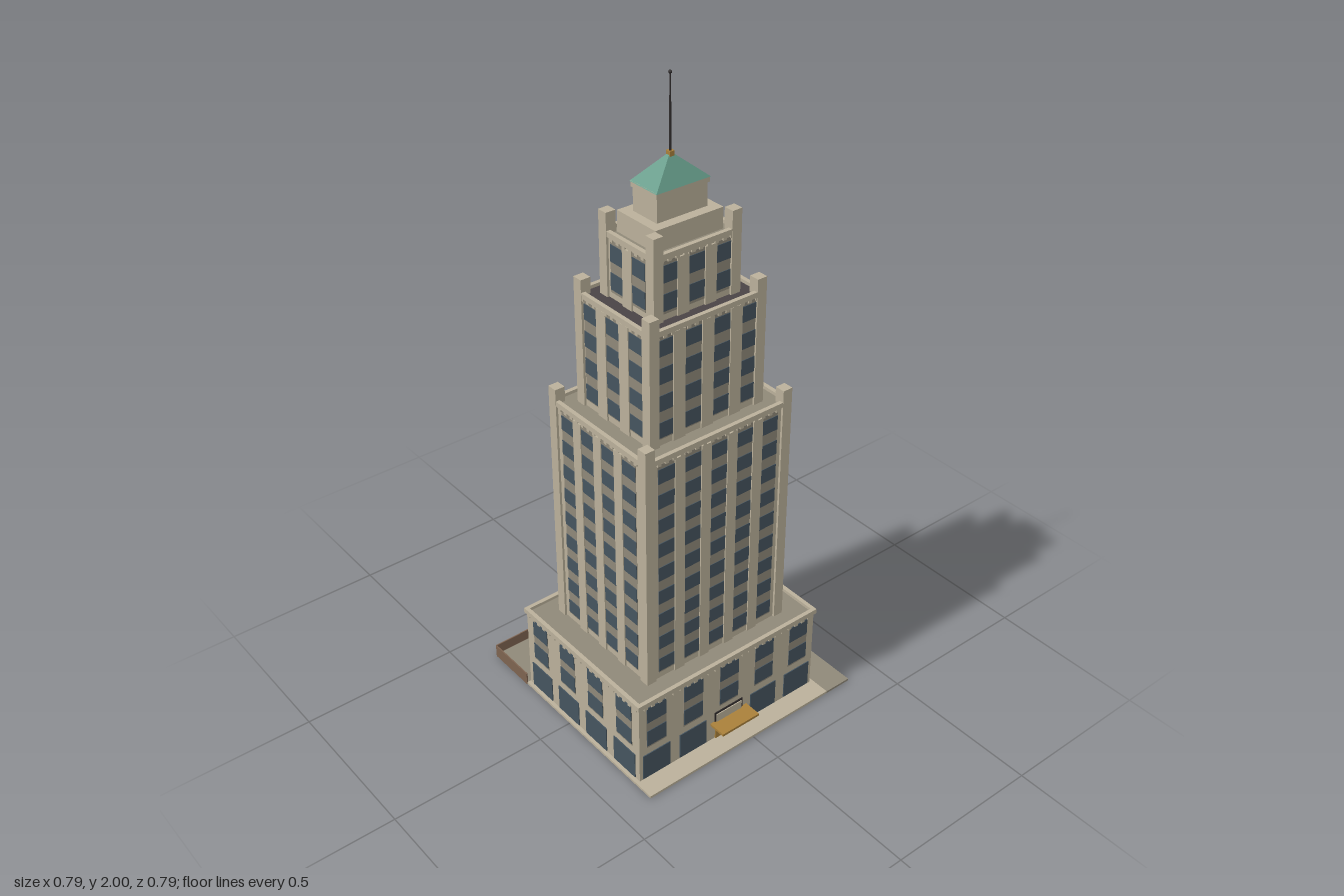
import * as THREE from 'three';

const mat = (name, color) => {
  const m = new THREE.MeshStandardMaterial({ color });
  m.name = name;
  return m;
};

export function createModel() {
  const stone = mat('limestone', 0xbab09a);
  const taupe = mat('taupe', 0x8f8878);
  const slate = mat('darkRoofing', 0x4a4446);
  const glass = mat('windowGlass', 0x45545f);
  const bronze = mat('bronze', 0xa9803a);
  const copper = mat('copperGreen', 0x659a88);
  const brick = mat('brownBrick', 0x7d6350);
  const iron = mat('iron', 0x2e2a2a);

  const model = new THREE.Group();
  model.name = 'steppedTower';
  const CX = -0.046, CZ = 0.054;

  const add = (parent, name, geo, material, x, y, z) => {
    const m = new THREE.Mesh(geo, material);
    m.name = name;
    m.position.set(x, y, z);
    parent.add(m);
    return m;
  };
  // box given by its min/max corners
  const span = (parent, name, material, x0, x1, y0, y1, z0, z1) =>
    add(parent, name, new THREE.BoxGeometry(x1 - x0, y1 - y0, z1 - z0), material,
      (x0 + x1) / 2, (y0 + y1) / 2, (z0 + z1) / 2);
  // faceted upright prism or cone standing on y
  const prism = (parent, name, material, x, y, z, rTop, rBottom, h, sides = 6) => {
    const geo = new THREE.CylinderGeometry(rTop, rBottom, h, sides).toNonIndexed();
    geo.computeVertexNormals();
    return add(parent, name, geo, material, x, y + h / 2, z);
  };

  // ---- pavement, alley and alley walls
  span(model, 'sidewalk', stone, -0.392, 0.3, 0, 0.008, -0.222, 0.392);
  span(model, 'backAlley', taupe, -0.392, 0.392, 0, 0.007, -0.392, -0.222);
  span(model, 'sideAlley', taupe, 0.3, 0.392, 0, 0.007, -0.222, 0.392);
  span(model, 'backWall', brick, -0.392, 0.392, 0, 0.042, -0.394, -0.39);
  span(model, 'alleyEndWall', brick, -0.394, -0.39, 0, 0.042, -0.39, -0.222);

  // ---- tower
  const tower = new THREE.Group();
  tower.name = 'tower';
  tower.position.set(CX, 0, CZ);
  model.add(tower);

  // square ring used for parapets
  const ring = (parent, hx, hz, t, y0, y1) => {
    const rect = (P, a, b) => new P().moveTo(-a, -b).lineTo(a, -b).lineTo(a, b).lineTo(-a, b).closePath();
    const s = rect(THREE.Shape, hx, hz);
    s.holes.push(rect(THREE.Path, hx - t, hz - t));
    const geo = new THREE.ExtrudeGeometry(s, { depth: y1 - y0, bevelEnabled: false });
    geo.rotateX(-Math.PI / 2);
    add(parent, 'parapet', geo, stone, 0, y0, 0);
  };

  // runs fn once per facade; local +z points outward
  const eachSide = (parent, hx, hz, fn) => {
    for (let k = 0; k < 4; k++) {
      const g = new THREE.Group();
      g.name = ['frontFacade', 'leftFacade', 'backFacade', 'rightFacade'][k];
      g.rotation.y = k * Math.PI / 2;
      parent.add(g);
      fn(g, k, k % 2 ? hz : hx, k % 2 ? hx : hz);
    }
  };

  const tiers = [
    { name: 'base', hx: 0.334, hz: 0.273, y0: 0.008, y1: 0.3, nx: 5, nz: 4, pitch: 0.136, w: 0.072,
      rows: [0.16, 0.248], h: 0.056, low: 0.125, high: 0.283, roof: taupe },
    { name: 'lowerShaft', hx: 0.25, hz: 0.208, y0: 0.28, y1: 1.05, nx: 5, nz: 4, pitch: 0.0915, w: 0.057,
      rows: Array.from({ length: 9 }, (_, i) => 0.339 + i * 0.0814), h: 0.046, low: 0.31, high: 1.028,
      roof: taupe, post: 1.087 },
    { name: 'middleShaft', hx: 0.191, hz: 0.154, y0: 1.03, y1: 1.392, nx: 4, nz: 3, pitch: 0.097, w: 0.057,
      rows: [1.089, 1.172, 1.255, 1.338], h: 0.048, low: 1.06, high: 1.374, roof: slate, post: 1.43 },
    { name: 'upperShaft', hx: 0.139, hz: 0.107, y0: 1.37, y1: 1.575, nx: 3, nz: 2, pitch: 0.092, w: 0.054,
      rows: [1.434, 1.516], h: 0.05, low: 1.4, high: 1.552, roof: taupe, post: 1.627 },
  ];

  for (const t of tiers) {
    const g = new THREE.Group();
    g.name = t.name;
    tower.add(g);
    span(g, 'body', stone, -t.hx, t.hx, t.y0, t.y1 - 0.014, -t.hz, t.hz);
    span(g, 'roofDeck', t.roof, -t.hx + 0.004, t.hx - 0.004, t.y1 - 0.016, t.y1 - 0.01, -t.hz + 0.004, t.hz - 0.004);
    ring(g, t.hx + 0.006, t.hz + 0.006, 0.013, t.y1 - 0.016, t.y1);

    // corner piers rising above the parapet
    if (t.post) for (const sx of [-1, 1]) for (const sz of [-1, 1])
      add(g, 'cornerPier', new THREE.BoxGeometry(0.032, t.post - t.y0, 0.032), stone,
        sx * (t.hx - 0.009), (t.post + t.y0) / 2, sz * (t.hz - 0.009));

    eachSide(g, t.hx, t.hz, (f, k, half, out) => {
      const n = k % 2 ? t.nz : t.nx;
      for (let i = 0; i < n; i++) {
        const x = (i - (n - 1) / 2) * t.pitch;
        // dark spandrel strip with a stack of windows
        span(f, 'spandrelStrip', taupe, x - t.w / 2, x + t.w / 2, t.low, t.high, out - 0.002, out + 0.001);
        for (const y of t.rows)
          span(f, 'window', glass, x - t.w / 2 + 0.001, x + t.w / 2 - 0.001, y - t.h / 2, y + t.h / 2, out - 0.002, out + 0.003);
        // projecting pier between window bays
        if (t.post && i < n - 1) {
          const pw = (t.pitch - t.w) / 2, px = x + t.pitch / 2;
          span(f, 'pier', stone, px - pw, px + pw, t.y0, t.high, out - 0.002, out + 0.005);
        }
        // wide street-level windows, leaving out the entrance and loading bays
        const bay = (k === 0 && i === 2) || (k === 2 && i === 1);
        if (!t.post && !bay)
          span(f, 'shopWindow', glass, x - 0.05, x + 0.05, 0.012, 0.1, out - 0.002, out + 0.003);
      }
      // dentils under the parapet
      const count = Math.floor(2 * half / 0.026);
      for (let i = 0; i < count; i++) {
        const x = (i - (count - 1) / 2) * 0.026;
        span(f, 'dentil', stone, x - 0.006, x + 0.006, t.y1 - 0.025, t.y1 - 0.016, out - 0.002, out + 0.005);
      }
    });
  }

  // ---- crown: plinth, lantern block, hipped roof, mast
  const crown = new THREE.Group();
  crown.name = 'crown';
  tower.add(crown);
  span(crown, 'plinth', stone, -0.112, 0.112, 1.55, 1.627, -0.079, 0.079);
  span(crown, 'lanternBlock', stone, -0.083, 0.083, 1.62, 1.7, -0.049, 0.049);
  span(crown, 'lanternCornice', stone, -0.087, 0.087, 1.695, 1.712, -0.053, 0.053);
  const cone = new THREE.ConeGeometry(Math.SQRT2, 0.075, 4);
  cone.rotateY(Math.PI / 4);
  cone.scale(0.089, 1, 0.055);
  const roofGeo = cone.toNonIndexed();
  roofGeo.computeVertexNormals();
  add(crown, 'copperRoof', roofGeo, copper, 0, 1.7475, 0);
  span(crown, 'finialBase', bronze, -0.008, 0.008, 1.774, 1.788, -0.008, 0.008);
  prism(crown, 'mast', iron, 0, 1.785, 0, 0.002, 0.0035, 0.21);
  add(crown, 'mastTip', new THREE.SphereGeometry(0.005, 8, 6), iron, 0, 1.995, 0);

  // ---- front entrance
  const zf = CZ + 0.273;
  span(model, 'entranceDoors', bronze, -0.097, 0.005, 0.008, 0.07, zf - 0.002, zf + 0.004);
  span(model, 'transomFrame', iron, -0.1, 0.008, 0.07, 0.108, zf - 0.002, zf + 0.003);
  span(model, 'transomPanel', stone, -0.094, 0.002, 0.074, 0.102, zf - 0.002, zf + 0.006);
  span(model, 'entranceCanopy', bronze, -0.115, 0.025, 0.066, 0.074, zf, 0.385);

  // ---- loading bay at the back
  const zb = CZ - 0.273;
  span(model, 'loadingDoor', slate, 0.03, 0.13, 0.03, 0.09, zb - 0.004, zb + 0.002);
  span(model, 'loadingDock', taupe, -0.005, 0.143, 0.004, 0.032, -0.265, zb);
  span(model, 'loadingCanopy', slate, -0.017, 0.155, 0.093, 0.1, -0.277, zb);

  // ---- rooftop hut and vents on the base
  span(model, 'roofHut', stone, -0.211, -0.152, 0.284, 0.352, -0.213, -0.15);
  span(model, 'roofHutCap', slate, -0.216, -0.147, 0.352, 0.36, -0.218, -0.15);
  span(model, 'roofHutDoorBack', slate, -0.192, -0.17, 0.29, 0.335, -0.216, -0.212);
  span(model, 'roofHutDoorSide', slate, -0.153, -0.149, 0.29, 0.335, -0.195, -0.175);
  for (const x of [0.021, 0.122]) {
    prism(model, 'ventPipe', taupe, x, 0.284, -0.189, 0.006, 0.006, 0.028);
    prism(model, 'ventCap', taupe, x, 0.31, -0.189, 0.003, 0.012, 0.01);
  }

  // ---- alley clutter
  span(model, 'largeCrate', brick, -0.05, -0.02, 0.006, 0.034, -0.385, -0.357);
  span(model, 'largeCrateLid', brick, -0.044, -0.026, 0.034, 0.038, -0.379, -0.363);
  span(model, 'smallCrate', brick, -0.013, 0.01, 0.006, 0.028, -0.383, -0.36);
  span(model, 'dockCrate', brick, 0.005, 0.028, 0.006, 0.028, -0.3, -0.277);
  prism(model, 'brownBarrel', brick, 0.029, 0.006, -0.373, 0.008, 0.008, 0.024);
  prism(model, 'blueBarrel', glass, 0.035, 0.006, -0.352, 0.008, 0.008, 0.024);
  for (let i = 0; i < 4; i++)
    prism(model, 'ashCan', taupe, -0.356 + i * 0.0205, 0.006, -0.235, 0.008, 0.007, 0.022);

  return model;
}
